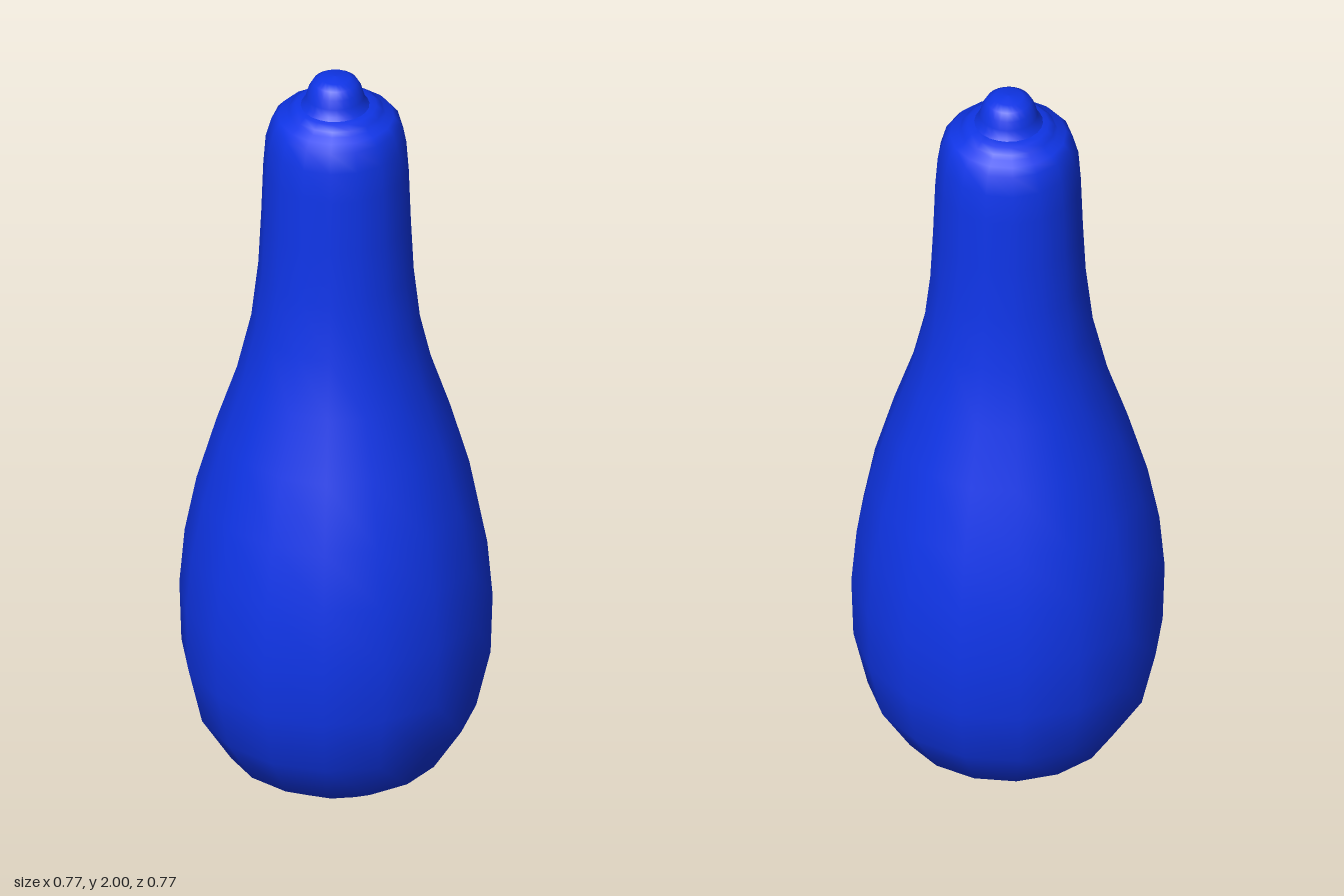
import * as THREE from 'three';

const material = new THREE.MeshStandardMaterial({ color: 0x0f35e8 });

// Smooth surface of revolution from [radius, height] pairs, bottom to top
function turned(name, profile, sides) {
  const points = profile.map(([r, y]) => new THREE.Vector2(r, y));
  const mesh = new THREE.Mesh(new THREE.LatheGeometry(points, sides), material);
  mesh.name = name;
  return mesh;
}

export function createModel() {
  const model = new THREE.Group();
  model.name = 'pearShapedBody';

  // Swollen base tapering into a long neck, with a rounded shoulder and a small step on top
  model.add(turned('body', [
    [0, 0], [0.148, 0.03], [0.268, 0.105], [0.343, 0.225], [0.378, 0.378],
    [0.383, 0.54], [0.37, 0.69], [0.341, 0.84], [0.292, 1.01], [0.242, 1.16],
    [0.207, 1.31], [0.19, 1.46], [0.183, 1.6], [0.178, 1.74], [0.172, 1.82],
    [0.158, 1.87], [0.142, 1.888], [0.122, 1.895], [0.115, 1.906], [0.1, 1.918], [0.075, 1.922], [0, 1.923],
  ], 16));

  // Rounded knob at the tip, flaring where it meets the neck
  const knob = turned('knob', [
    [0.088, 1.916], [0.077, 1.928], [0.071, 1.945], [0.065, 1.967],
    [0.054, 1.986], [0.036, 1.997], [0, 2],
  ], 24);
  knob.position.z = 0.004;
  model.add(knob);

  return model;
}
